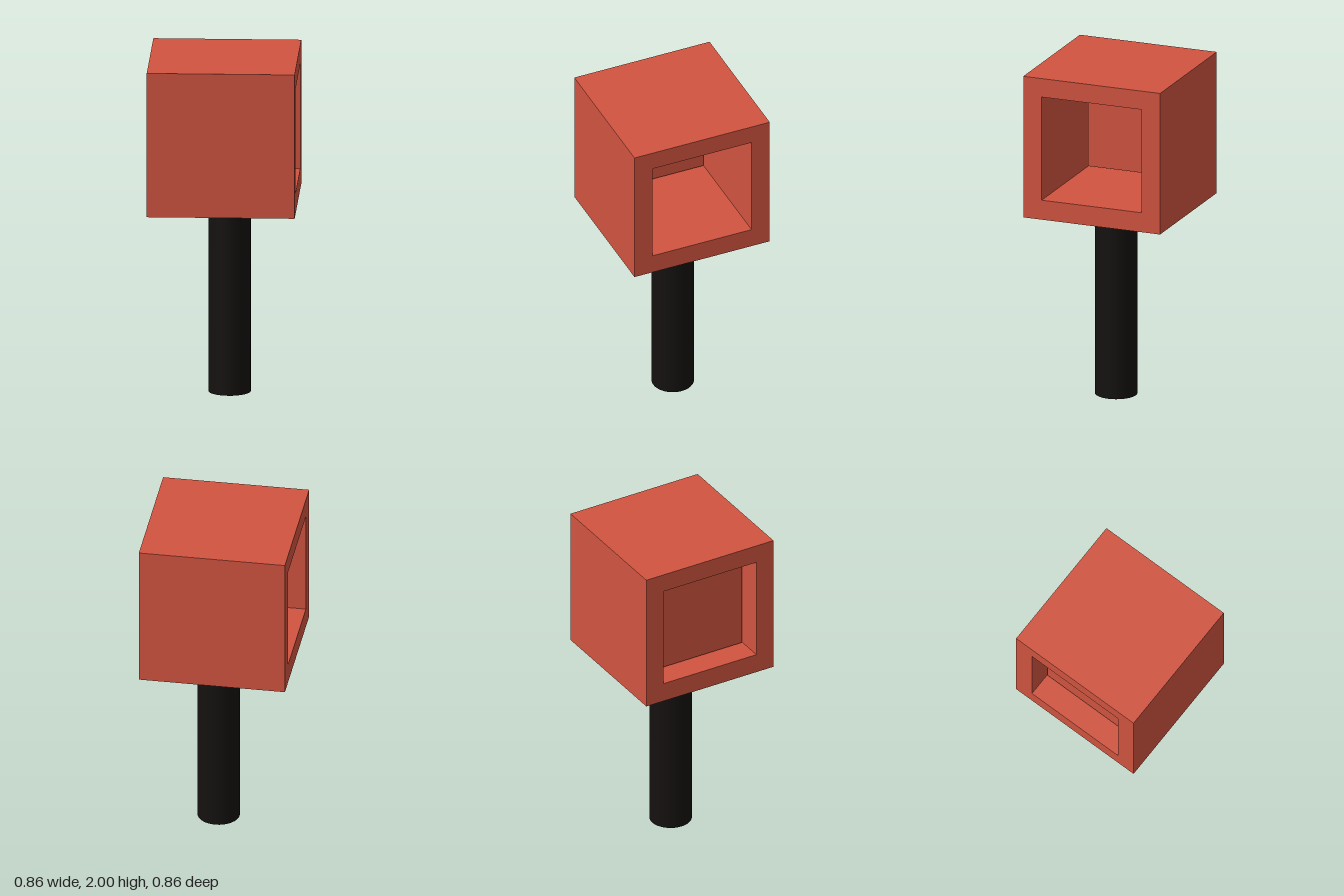
import * as THREE from 'three';

const HALF = 0.431;      // half the side of the cubic head
const HEAD_Y = 1.569;    // centre height of the head
const HOLE = 0.315;      // half the side of the square opening

function addPart(group, name, geometry, material, x, y, z) {
  const mesh = new THREE.Mesh(geometry, material);
  mesh.name = name;
  mesh.position.set(x, y, z);
  group.add(mesh);
}

function squarePoints(h, cy = 0) {
  return [[-h, -h], [h, -h], [h, h], [-h, h]].map(([x, y]) => new THREE.Vector2(x, y + cy));
}

export function createModel() {
  const group = new THREE.Group();
  group.name = 'squareMallet';
  const red = new THREE.MeshStandardMaterial({ color: 0xd0533f });
  const black = new THREE.MeshStandardMaterial({ color: 0x14110f });

  // Cubic head with a square tunnel running along x
  const outline = new THREE.Shape(squarePoints(HALF));
  outline.holes.push(new THREE.Path(squarePoints(HOLE, 0.003).reverse()));
  const head = new THREE.ExtrudeGeometry(outline, { depth: 2 * HALF, bevelEnabled: false });
  head.translate(0, 0, -HALF).rotateY(Math.PI / 2);
  addPart(group, 'head', head, red, 0, HEAD_Y, 0);

  // Loose panel recessed behind the left-hand opening
  addPart(group, 'innerPanel', new THREE.BoxGeometry(0.05, 0.617, 0.61), red, -0.265, 1.5785, -0.003);

  // Round handle, slightly off centre
  addPart(group, 'handle', new THREE.CylinderGeometry(0.124, 0.124, 1.15, 32), black, 0.033, 0.575, 0.01);

  return group;
}
